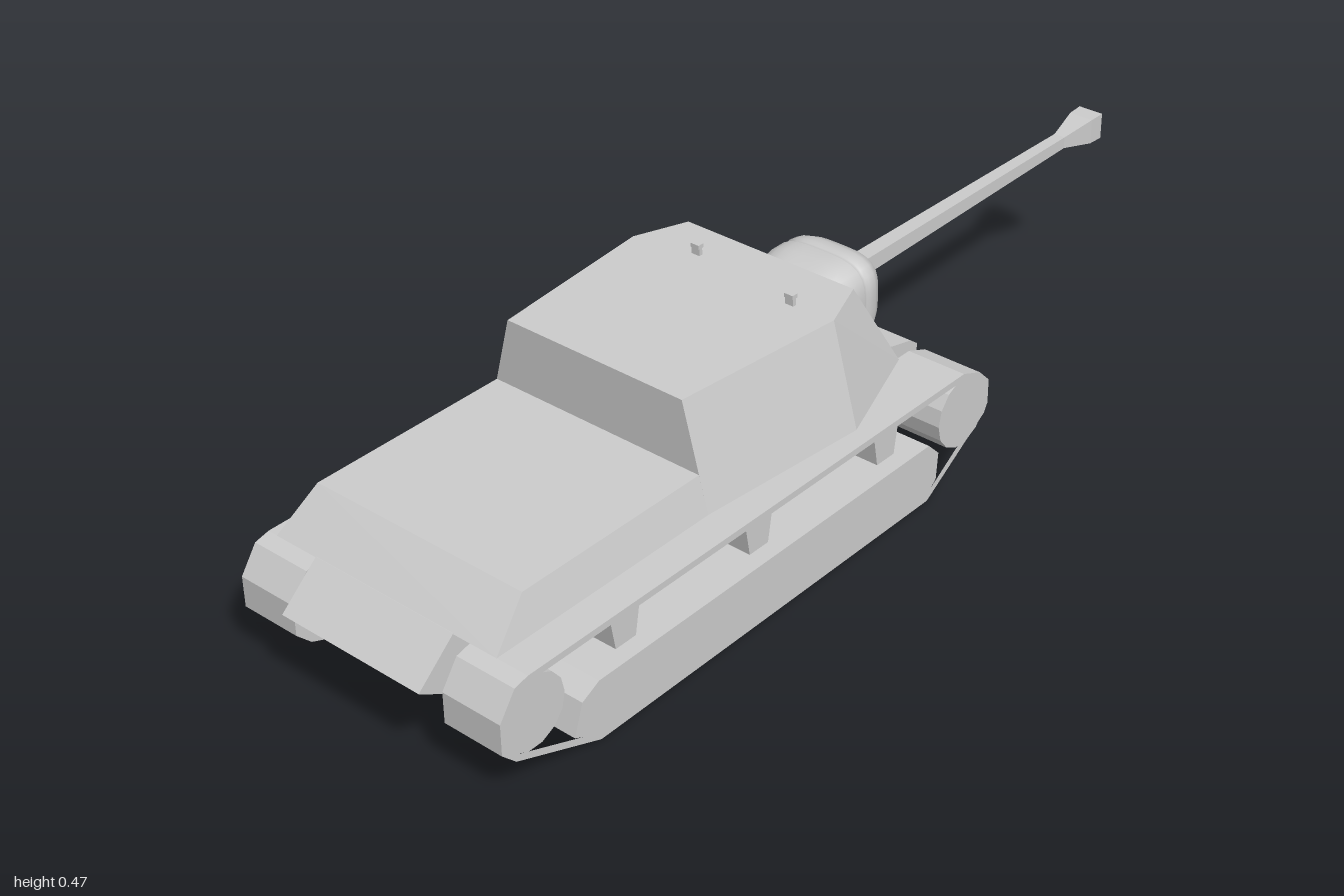
import * as THREE from 'three';
import { mergeVertices } from 'three/addons/utils/BufferGeometryUtils.js';
import { ConvexGeometry } from 'three/addons/geometries/ConvexGeometry.js';

const flat = new THREE.MeshStandardMaterial({ color: 0xcccccc, flatShading: true });
const smooth = new THREE.MeshStandardMaterial({ color: 0xcccccc });

function add(parent, name, geometry, material = flat) {
  const mesh = new THREE.Mesh(geometry, material);
  mesh.name = name;
  parent.add(mesh);
  return mesh;
}

const toPoints = (list) => list.map(([z, y]) => new THREE.Vector2(z, y));

// Side profile given as [z, y], extruded across x from x0 to x1
function sideExtrude(profile, x0, x1, hole) {
  const shape = new THREE.Shape(toPoints(profile));
  if (hole) shape.holes.push(new THREE.Path(toPoints(hole)));
  const g = new THREE.ExtrudeGeometry(shape, { depth: x1 - x0, bevelEnabled: false });
  return g.rotateY(-Math.PI / 2).translate(x1, 0, 0);
}

// Convex plated body, symmetric about x = 0, from [x, y, z] corners
function plated(corners) {
  return new ConvexGeometry(corners.flatMap(([x, y, z]) =>
    [new THREE.Vector3(x, y, z), new THREE.Vector3(-x, y, z)]));
}

const IN = 0.172, OUT = 0.297;

function createTrack(side) {
  const track = new THREE.Group();
  track.name = side > 0 ? 'leftTrack' : 'rightTrack';
  const x0 = side > 0 ? IN : -OUT, x1 = side > 0 ? OUT : -IN;
  const mid = (x0 + x1) / 2;

  // Thin closed track loop
  add(track, 'trackBand', sideExtrude(
    [[0.9, 0.225], [0.93, 0.218], [0.965, 0.168], [0.965, 0.107], [0.935, 0.077], [0.745, 0],
      [-0.13, 0], [-0.3, 0.107], [-0.31, 0.125], [-0.31, 0.175], [-0.28, 0.205], [-0.23, 0.225]],
    x0, x1,
    [[0.9, 0.212], [0.92, 0.207], [0.95, 0.163], [0.95, 0.112], [0.927, 0.088], [0.742, 0.013],
      [-0.126, 0.013], [-0.288, 0.118], [-0.297, 0.13], [-0.297, 0.17], [-0.272, 0.194], [-0.228, 0.212]]));

  // Solid block standing in for the road wheels
  add(track, 'roadWheelBlock', sideExtrude(
    [[0.745, 0.12], [0.785, 0.1], [0.805, 0.04], [0.742, 0.01], [-0.126, 0.01],
      [-0.155, 0.035], [-0.16, 0.09], [-0.13, 0.12]], x0, x1));

  // End wheels
  for (const [name, z, y, r] of [['rearWheel', 0.892, 0.147, 0.07], ['frontWheel', -0.232, 0.144, 0.073]]) {
    const wheel = add(track, name, new THREE.CylinderGeometry(r, r, OUT - IN - 0.002, 14).rotateZ(Math.PI / 2));
    wheel.position.set(mid, y, z);
  }

  // Tapered brackets under the upper run, reaching in to the hull
  const b0 = side > 0 ? 0.15 : -0.285, b1 = side > 0 ? 0.285 : -0.15;
  for (const z of [0.668, 0.335, -0.015]) {
    add(track, 'returnBracket', sideExtrude(
      [[z + 0.036, 0.214], [z + 0.024, 0.145], [z - 0.024, 0.145], [z - 0.036, 0.214]], b0, b1));
  }
  return track;
}

// Rounded-square gun shield: a lathe whose round section is pushed out to a superellipse
function mantletGeometry() {
  const profile = [[0, 0.03], [0.8, 0.03], [0.93, 0.055], [1, 0.09], [1, 0.125], [0.95, 0.13],
    [0.95, 0.137], [0.99, 0.142], [0.97, 0.16], [0.86, 0.182], [0.6, 0.195], [0.25, 0.2], [0, 0.2]];
  let g = new THREE.LatheGeometry(toPoints(profile), 40).rotateX(-Math.PI / 2);
  const p = g.attributes.position;
  for (let i = 0; i < p.count; i++) {
    const x = p.getX(i), y = p.getY(i), r = Math.hypot(x, y);
    if (r < 1e-6) continue;
    const c = Math.abs(x / r), s = Math.abs(y / r);
    const k = (c ** 3.6 + s ** 3.6) ** (-1 / 3.6);
    p.setXY(i, x * k * 0.103, y * k * 0.087);
  }
  g.deleteAttribute('normal');
  g.deleteAttribute('uv');
  g = mergeVertices(g, 1e-5);
  g.computeVertexNormals();
  return g;
}

export function createModel() {
  const model = new THREE.Group();
  model.name = 'tank';

  // Lower hull between the tracks
  add(model, 'lowerHull', sideExtrude(
    [[1, 0.178], [0.92, 0.248], [-0.15, 0.255], [-0.255, 0.23], [-0.275, 0.215],
      [-0.275, 0.18], [-0.21, 0.098], [0.87, 0.098]], -0.157, 0.157));

  // Engine deck
  add(model, 'engineDeck', plated([
    [0.232, 0.318, 0.4], [0.232, 0.318, 0.84], [0.251, 0.247, 0.4], [0.251, 0.247, 0.92]]));

  // Fighting compartment with angled cheeks and sloped front plate
  add(model, 'superstructure', plated([
    [0.197, 0.45, 0.425], [0.23, 0.45, 0.07], [0.19, 0.45, -0.035],
    [0.251, 0.247, 0.425], [0.284, 0.25, 0.07], [0.205, 0.255, -0.155]]));

  // Roof periscopes
  for (const [x, z] of [[-0.1, 0.045], [0.139, 0.075]]) {
    const scope = new THREE.Group();
    scope.name = 'periscope';
    add(scope, 'periscopeBody', new THREE.BoxGeometry(0.018, 0.024, 0.008)).position.set(x, 0.456, z);
    add(scope, 'periscopeHead', new THREE.BoxGeometry(0.019, 0.008, 0.013)).position.set(x, 0.468, z);
    model.add(scope);
  }

  // Gun, set slightly to one side
  const gun = new THREE.Group();
  gun.name = 'gun';
  gun.position.x = 0.045;
  add(gun, 'mantlet', mantletGeometry(), smooth).position.y = 0.35;
  const barrelProfile = [[0, 0.17], [0.017, 0.17], [0.012, 0.89], [0.026, 0.965], [0.027, 1], [0, 1]]
    .map(([r, a]) => [r * Math.SQRT2, a]);
  const barrel = new THREE.LatheGeometry(toPoints(barrelProfile), 4, Math.PI / 4).rotateX(-Math.PI / 2);
  add(gun, 'barrel', barrel).position.y = 0.356;
  model.add(gun);

  model.add(createTrack(1), createTrack(-1));
  return model;
}
